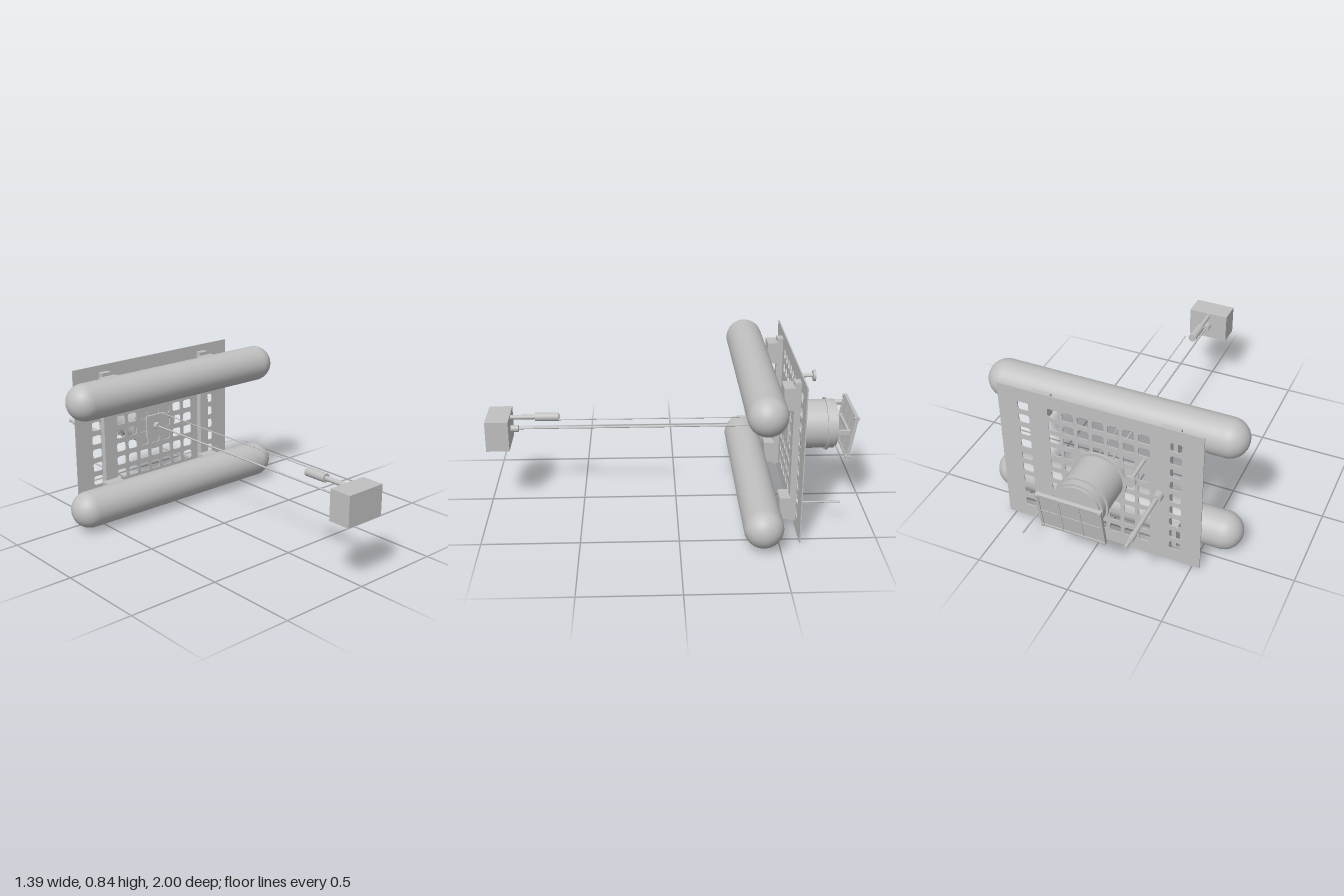
import * as THREE from 'three';

export function createModel() {
  const root = new THREE.Group();
  root.name = 'floatingStation';
  const grey = new THREE.MeshStandardMaterial({ color: 0xc0c0c0 });
  grey.name = 'plain grey';
  const MID = 0.42; // height of the plate centre
  const BACK = -0.61; // rear face of the plate

  function add(name, geometry, x = 0, y = 0, z = 0, parent = root) {
    const mesh = new THREE.Mesh(geometry, grey);
    mesh.name = name;
    mesh.position.set(x, y, z);
    parent.add(mesh);
    return mesh;
  }
  const box = (name, w, h, d, x, y, z, parent) =>
    add(name, new THREE.BoxGeometry(w, h, d), x, y, z, parent);
  // Cylinder lying along z between two depths
  const rod = (name, r, z0, z1, x, y, parent, sides = 24) =>
    add(name, new THREE.CylinderGeometry(r, r, Math.abs(z1 - z0), sides).rotateX(-Math.PI / 2),
      x, y, (z0 + z1) / 2, parent);

  // Perforated mounting plate
  const plate = new THREE.Shape();
  plate.moveTo(-0.54, -0.418);
  plate.lineTo(0.54, -0.418);
  plate.lineTo(0.54, 0.418);
  plate.lineTo(-0.54, 0.418);
  plate.closePath();
  function roundedHole(cx, cy, w, h, r) {
    const p = new THREE.Path();
    const a = w / 2 - r, b = h / 2 - r;
    p.absarc(cx + a, cy + b, r, 0, Math.PI / 2);
    p.absarc(cx - a, cy + b, r, Math.PI / 2, Math.PI);
    p.absarc(cx - a, cy - b, r, Math.PI, Math.PI * 1.5);
    p.absarc(cx + a, cy - b, r, Math.PI * 1.5, Math.PI * 2);
    p.closePath();
    return p;
  }
  for (const x of [-0.403, -0.24, -0.16, -0.08, 0, 0.08, 0.16, 0.24, 0.403]) {
    for (let row = -4; row <= 4; row++) {
      if (x === -0.24 && row === 2) continue; // solid behind the short mast
      plate.holes.push(roundedHole(x, row * 0.079, 0.06, 0.051, 0.013));
    }
  }
  add('perforatedPlate',
    new THREE.ExtrudeGeometry(plate, { depth: 0.006, bevelEnabled: false, curveSegments: 4 }),
    0, MID, BACK);

  // Two long floats
  for (const [name, y] of [['lowerFloat', 0.12], ['upperFloat', 0.72]]) {
    add(name, new THREE.CapsuleGeometry(0.1, 1.19, 16, 48).rotateZ(Math.PI / 2), 0, y, -0.415);
  }

  // Upright rails and the blocks that carry the floats
  for (const side of [-1, 1]) {
    const x = side * 0.345;
    box('uprightRail', 0.056, 0.76, 0.033, x, MID, -0.5875);
    for (const y of [0.122, 0.722]) box('floatBlock', 0.104, 0.118, 0.057, x, y, -0.545);
  }

  // Centre bracket with its socket, and the forward boom
  box('boomBracket', 0.13, 0.13, 0.012, 0, MID, -0.598);
  rod('boomSocket', 0.02, -0.6, -0.568, 0, MID);
  rod('boom', 0.005, -0.6, 0.89, 0, MID, root, 12);
  rod('cable', 0.003, -0.6, 0.62, 0.043, 0.485, root, 10);

  // Instrument box at the end of the boom
  box('instrumentBox', 0.228, 0.164, 0.122, 0, MID, 0.939);
  rod('boxSocket', 0.019, 0.838, 0.88, 0, MID);
  rod('probeStem', 0.0125, 0.74, 0.88, 0, 0.485);
  rod('probeHead', 0.023, 0.62, 0.745, 0, 0.485);

  // Drum housing on the rear face: [name, radius, near depth, far depth]
  const drum = new THREE.Group();
  drum.name = 'drumHousing';
  root.add(drum);
  for (const [name, r, z0, z1] of [
    ['drumFlange', 0.149, BACK, -0.622],
    ['drumBody', 0.131, -0.615, -0.842],
    ['drumClampRing', 0.141, -0.796, -0.808],
    ['drumLid', 0.12, -0.84, -0.855],
  ]) rod(name, r, z0, z1, 0, 0.425, drum, 64);
  for (const x of [-0.062, 0.062]) rod('lidBolt', 0.012, -0.85, -0.862, x, 0.425, drum, 16);

  // Panel support
  for (const x of [-0.115, 0.115]) box('panelPost', 0.016, 0.024, 0.07, x, MID, -0.885);
  box('panelCrossbar', 0.246, 0.02, 0.012, 0, MID, -0.908);

  // Tilted panel: thin sheet, raised frame and dividers making six cells
  const panel = new THREE.Group();
  panel.name = 'tiltedPanel';
  panel.position.set(0, 0.41, -0.918);
  panel.rotation.x = -0.17;
  root.add(panel);
  box('panelSheet', 0.33, 0.225, 0.008, 0, 0, 0, panel);
  for (const s of [-1, 1]) {
    box('frameRail', 0.34, 0.014, 0.018, 0, s * 0.112, 0, panel);
    box('frameSide', 0.014, 0.23, 0.018, s * 0.163, 0, 0, panel);
    box('cellDivider', 0.008, 0.22, 0.014, s * 0.054, 0, 0, panel);
    for (const t of [-1, 1]) rod('frameCorner', 0.009, -0.014, 0.014, s * 0.162, t * 0.11, panel, 12);
  }
  box('cellDivider', 0.32, 0.008, 0.014, 0, 0, 0, panel);

  // Tall mast
  rod('mastBase', 0.026, BACK, -0.65, -0.318, MID);
  rod('mastPole', 0.012, -0.65, -0.91, -0.318, MID);
  rod('mastCollar', 0.016, -0.905, -0.955, -0.318, MID);
  rod('mastTip', 0.01, -0.955, -1, -0.318, MID);

  // Short mast with a disc cap
  rod('shortMast', 0.01, BACK, -0.77, -0.24, 0.61);
  rod('shortMastCap', 0.031, -0.765, -0.78, -0.24, 0.61);

  // Whip aerial
  rod('whipBase', 0.018, BACK, -0.628, 0.325, 0.12);
  rod('whip', 0.005, -0.62, -0.842, 0.325, 0.12, root, 10);

  return root;
}
